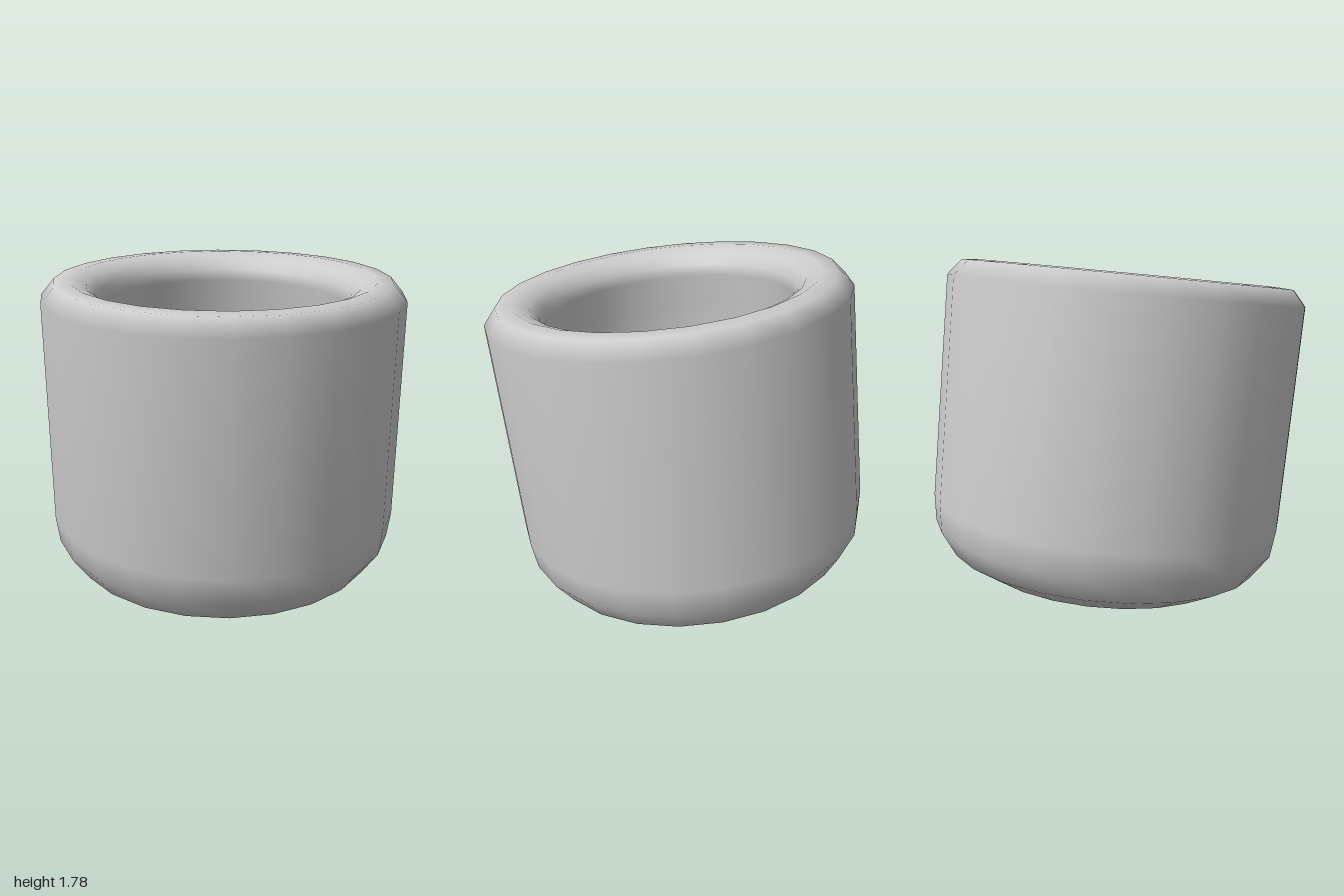
import * as THREE from 'three';

// Thick-walled cup, leaning slightly forward and to one side
export function createModel() {
  const group = new THREE.Group();
  group.name = 'leaningCup';

  // [radius, height along the axis], from the base, over the rim, into the bowl
  const profile = [
    [0, -0.93], [0.4, -0.93], [0.67, -0.925], [0.835, -0.833], [0.922, -0.705], [0.94, -0.565], // base
    [0.944, 0.6], [0.875, 0.682], [0.79, 0.688], [0.71, 0.655], [0.667, 0.6], [0.655, 0.54], // wall and rim
    [0.69, 0.35], [0.7, 0.05], [0.66, -0.25], [0.53, -0.5], [0.3, -0.66], [0, -0.71], // bowl
  ].map(([r, h]) => new THREE.Vector2(r, h));

  const cup = new THREE.Mesh(
    new THREE.LatheGeometry(profile, 24, -0.035),
    new THREE.MeshStandardMaterial({ color: 0xcccccc }),
  );
  cup.name = 'cup';

  // Tilt the axis and rest the low edge of the base on the ground
  const axis = new THREE.Vector3(-0.065, 1, 0.1).normalize();
  cup.quaternion.setFromUnitVectors(new THREE.Vector3(0, 1, 0), axis);
  cup.position.y = 1;
  group.add(cup);
  return group;
}
